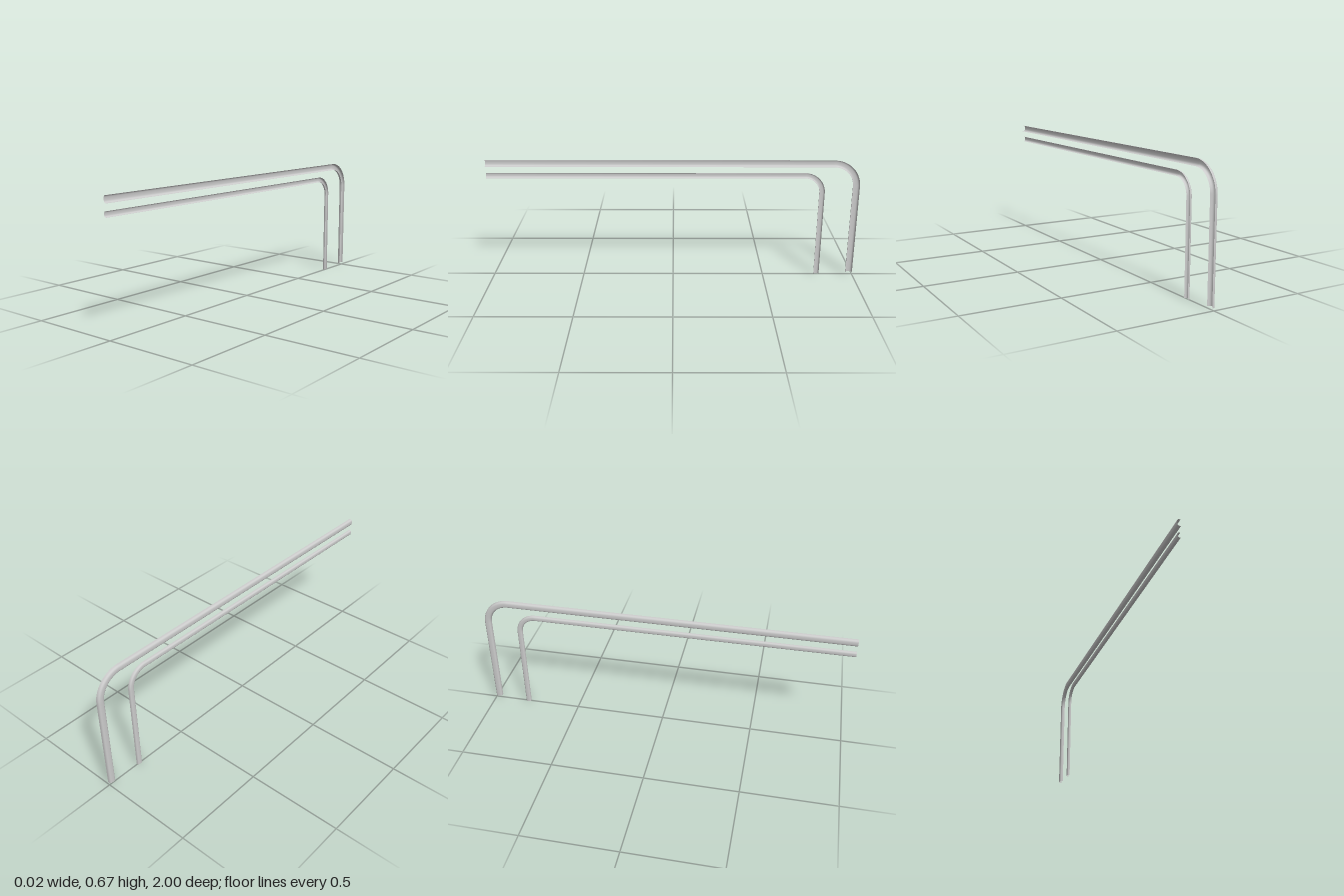
import * as THREE from 'three';

const material = new THREE.MeshStandardMaterial({ color: 0xcccccc, side: THREE.DoubleSide });
const BACK = -0.0092; // plane on which both channels rest
const SIDES = 12, BEND_STEPS = 20;

// Open half-round cross-section: u across the channel, x through its depth
function channelProfile(half, depth) {
  const points = [];
  for (let i = 0; i <= SIDES; i++) {
    const t = -Math.PI / 2 + (Math.PI * i) / SIDES;
    const s = Math.sin(t), c = Math.max(0, Math.cos(t));
    points.push({
      u: half * Math.sign(s) * Math.abs(s) ** (2 / 3),
      x: BACK + depth * (1 - c ** (2 / 3)),
    });
  }
  return points;
}

// Path along the horizontal run, round the bend and down the leg
function channelPath({ top, back, half, bend, foot }) {
  const cy = top - bend, cz = back + bend, r = bend - half;
  const path = [{ y: cy + r, z: 1, ny: 1, nz: 0 }];
  for (let i = 0; i <= BEND_STEPS; i++) {
    const a = (Math.PI / 2) * (i / BEND_STEPS);
    const ny = Math.cos(a), nz = -Math.sin(a);
    path.push({ y: cy + r * ny, z: cz + r * nz, ny, nz });
  }
  path.push({ y: foot, z: cz - r, ny: 0, nz: -1 });
  return path;
}

function channel(name, spec) {
  const profile = channelProfile(spec.half, spec.depth);
  const path = channelPath(spec);
  const positions = [], index = [], n = profile.length;
  path.forEach((p, j) => {
    for (const { u, x } of profile) positions.push(x, p.y + u * p.ny, p.z + u * p.nz);
    if (j === 0) return;
    for (let i = 0; i < n - 1; i++) {
      const a = (j - 1) * n + i, b = a + 1, c = a + n, d = c + 1;
      index.push(a, b, c, b, d, c);
    }
  });
  const geometry = new THREE.BufferGeometry();
  geometry.setAttribute('position', new THREE.Float32BufferAttribute(positions, 3));
  geometry.setIndex(index);
  geometry.computeVertexNormals();
  const mesh = new THREE.Mesh(geometry, material);
  mesh.name = name;
  return mesh;
}

export function createModel() {
  const group = new THREE.Group();
  group.name = 'bentChannels';
  group.add(
    channel('outerChannel', { top: 0.665, back: -1, half: 0.0185, depth: 0.0184, bend: 0.145, foot: 0.013 }),
    channel('innerChannel', { top: 0.593, back: -0.815, half: 0.0145, depth: 0.0142, bend: 0.11, foot: 0 }),
  );
  return group;
}
